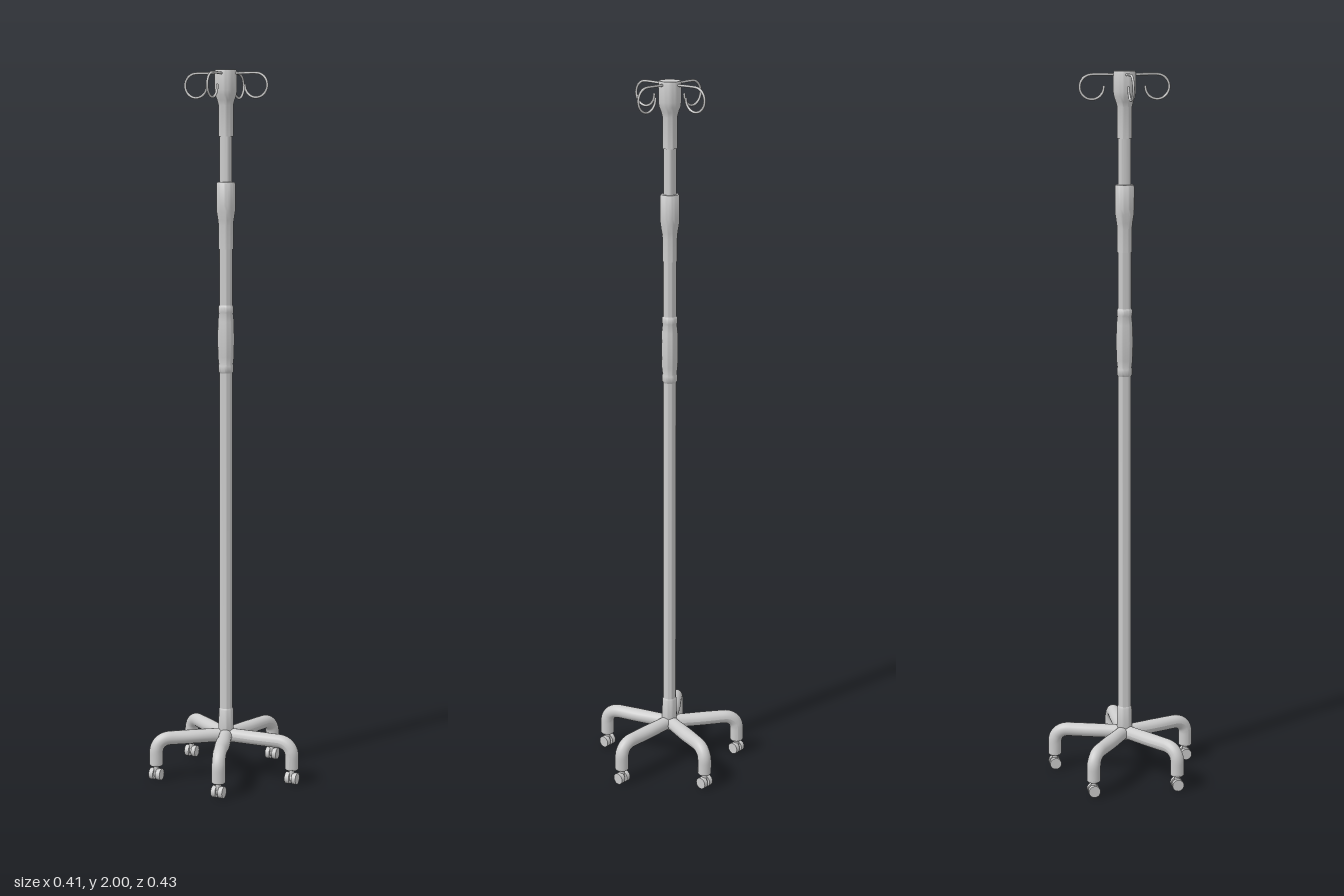
import * as THREE from 'three';
import { toCreasedNormals } from 'three/addons/utils/BufferGeometryUtils.js';

const mat = new THREE.MeshStandardMaterial({ color: 0xcccccc });
const V = (x, y, z = 0) => new THREE.Vector3(x, y, z);

function add(parent, name, geometry, x = 0, y = 0, z = 0) {
  const mesh = new THREE.Mesh(geometry, mat);
  mesh.name = name;
  mesh.position.set(x, y, z);
  parent.add(mesh);
  return mesh;
}

// Turned part from [radius, height] pairs, bottom to top
function turned(profile, segments = 32) {
  const pts = profile.map(([r, y]) => new THREE.Vector2(r, y));
  return toCreasedNormals(new THREE.LatheGeometry(pts, segments), 0.6);
}

// Leg tube that swells in the middle and at the bend
function legGeometry() {
  const path = new THREE.CurvePath();
  path.add(new THREE.LineCurve3(V(0, 0.12), V(0.163, 0.12)));
  path.add(new THREE.CubicBezierCurve3(V(0.163, 0.12), V(0.187, 0.12), V(0.204, 0.105), V(0.204, 0.08)));
  path.add(new THREE.LineCurve3(V(0.204, 0.08), V(0.204, 0.045)));
  const rings = 48, sides = 20;
  const geo = new THREE.TubeGeometry(path, rings, 0.0195, sides);
  const pos = geo.attributes.position, p = V(0, 0);
  for (let i = 0; i <= rings; i++) {
    const c = path.getPointAt(i / rings);
    const swell = 0.13 * Math.exp(-(((c.x - 0.1) / 0.045) ** 2));
    const width = c.x < 0.2 ? 0.97 + swell : 1;
    for (let j = 0; j <= sides; j++) {
      const k = i * (sides + 1) + j;
      p.fromBufferAttribute(pos, k);
      pos.setZ(k, p.z * width);
    }
  }
  geo.computeVertexNormals();
  return geo;
}

// Wire arm ending in an open loop
function hookGeometry() {
  const pts = [V(0.015, 1.99), V(0.05, 1.991)];
  for (let i = 0; i <= 14; i++) {
    const a = Math.PI * (0.5 - 1.5 * i / 14);
    pts.push(V(0.09 + 0.033 * Math.cos(a), 1.958 + 0.033 * Math.sin(a)));
  }
  return new THREE.TubeGeometry(new THREE.CatmullRomCurve3(pts), 64, 0.0035, 8);
}

export function createModel() {
  const model = new THREE.Group();
  model.name = 'dripStand';
  const stand = new THREE.Group();
  stand.name = 'stand';
  stand.position.x = -0.02;
  model.add(stand);

  // Pole and its sleeves
  add(stand, 'lowerPole', turned([[0, 0.1], [0.0185, 0.1], [0.0185, 1.6], [0, 1.6]]));
  add(stand, 'upperPole', turned([[0.0175, 1.58], [0.0175, 1.93]]));
  add(stand, 'baseCollar', turned([[0.0185, 0.1], [0.022, 0.11], [0.021, 0.195], [0.0185, 0.2]]));
  add(stand, 'grip', turned([
    [0.0185, 1.165], [0.0215, 1.17], [0.0215, 1.185], [0.02, 1.19], [0.0225, 1.21], [0.0235, 1.26],
    [0.0225, 1.31], [0.02, 1.332], [0.0215, 1.337], [0.0215, 1.35], [0.0185, 1.355],
  ]));
  add(stand, 'heightCollar', turned([
    [0.0185, 1.51], [0.0205, 1.51], [0.0205, 1.575], [0.022, 1.59], [0.026, 1.615],
    [0.0265, 1.63], [0.0265, 1.69], [0.024, 1.695], [0.0175, 1.695],
  ]));
  add(stand, 'head', turned([
    [0.0175, 1.82], [0.0205, 1.82], [0.0205, 1.905], [0.024, 1.918], [0.029, 1.932], [0.031, 1.945],
    [0.031, 1.993], [0.029, 2], [0, 2],
  ]));

  // Four hanging hooks
  const hookGeo = hookGeometry();
  for (let i = 0; i < 4; i++) {
    const hook = new THREE.Group();
    hook.name = 'hook';
    hook.rotation.y = i * Math.PI / 2;
    add(hook, 'hookWire', hookGeo);
    add(hook, 'hookTip', new THREE.SphereGeometry(0.0035, 8, 6), 0.057, 1.958);
    stand.add(hook);
  }

  // Five legs, with all casters rolling in the same direction
  const legGeo = legGeometry();
  const footGeo = turned([[0, 0.042], [0.017, 0.042], [0.0195, 0.046], [0.0195, 0.05]], 20);
  const stemGeo = new THREE.CylinderGeometry(0.008, 0.008, 0.025, 12);
  const wheelGeo = new THREE.CylinderGeometry(0.0165, 0.0165, 0.013, 20).rotateZ(Math.PI / 2);
  const axleGeo = new THREE.CylinderGeometry(0.009, 0.009, 0.012, 12).rotateZ(Math.PI / 2);
  for (let i = 0; i < 5; i++) {
    const a = i * Math.PI * 2 / 5;
    const leg = add(stand, 'leg', legGeo);
    leg.rotation.y = a;

    const caster = new THREE.Group();
    caster.name = 'caster';
    caster.position.set(0.204 * Math.cos(a), 0, -0.204 * Math.sin(a));
    add(caster, 'foot', footGeo);
    add(caster, 'stem', stemGeo, 0, 0.034);
    add(caster, 'axle', axleGeo, 0, 0.0165);
    for (const s of [-1, 1]) add(caster, 'wheel', wheelGeo, s * 0.0105, 0.0165);
    stand.add(caster);
  }
  return model;
}
